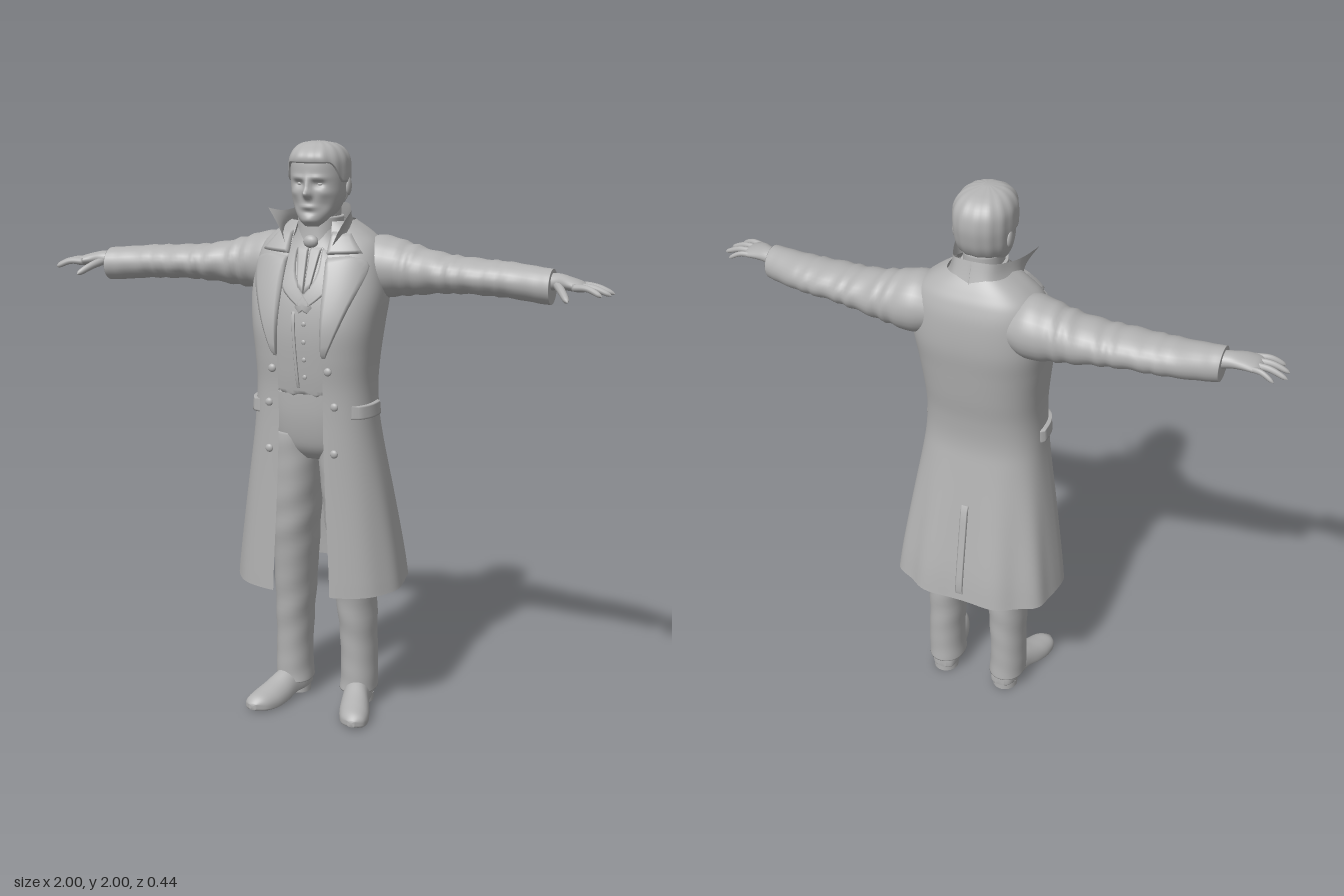
import * as THREE from 'three';

const grey = new THREE.MeshStandardMaterial({ color: 0xb2b2b2, side: THREE.DoubleSide });
grey.name = 'plain grey';

// ---- helpers ----
const spline = (a, b, c, d, u) =>
  0.5 * (2 * b + (c - a) * u + (2 * a - 5 * b + 4 * c - d) * u * u + (3 * b - a - 3 * c + d) * u ** 3);

// Smoothly subdivides a short table of cross-sections.
function smooth(t, k = 6) {
  const out = [], last = t.length - 1;
  for (let i = 0; i < last; i++) for (let j = 0; j < k; j++) {
    const [a, b, c, d] = [t[Math.max(i - 1, 0)], t[i], t[i + 1], t[Math.min(i + 2, last)]];
    out.push(b.map((_, q) => spline(a[q], b[q], c[q], d[q], j / k)));
  }
  return [...out, t[last]];
}

// Looks a section up by its first value.
function at(rows, y) {
  let i = 0;
  while (i < rows.length - 2 && rows[i + 1][0] < y) i++;
  const u = THREE.MathUtils.clamp((y - rows[i][0]) / (rows[i + 1][0] - rows[i][0]), 0, 1);
  return rows[i].map((v, q) => v + (rows[i + 1][q] - v) * u);
}

// Skins rows of points; closed wraps each row, caps fills both ends.
function skin(rows, closed = true, caps = true) {
  const n = rows[0].length, pos = rows.flat(2), idx = [], m = closed ? n : n - 1;
  for (let i = 0; i < rows.length - 1; i++) for (let j = 0; j < m; j++) {
    const a = i * n + j, b = i * n + (j + 1) % n;
    idx.push(a, a + n, b, b, a + n, b + n);
  }
  if (closed && caps) [0, rows.length - 1].forEach((r, e) => {
    const c = pos.length / 3;
    pos.push(...[0, 1, 2].map(q => rows[r].reduce((s, p) => s + p[q], 0) / n));
    for (let j = 0; j < n; j++) {
      const a = r * n + j, b = r * n + (j + 1) % n;
      idx.push(...(e ? [c, b, a] : [c, a, b]));
    }
  });
  const g = new THREE.BufferGeometry();
  g.setAttribute('position', new THREE.Float32BufferAttribute(pos, 3));
  g.setIndex(idx);
  g.computeVertexNormals();
  return g;
}

const pow = (v, e) => Math.sign(v) * Math.abs(v) ** e;
const oval = (a, n) => [pow(Math.sin(a), 2 / n), pow(Math.cos(a), 2 / n)];
const loop = (count, f) => Array.from({ length: count }, (_, j) => f(j / count * Math.PI * 2));

// Upright section [y, half width, front z, back z]
const ringY = ([y, rx, zf, zb], n = 2.3, count = 48) => loop(count, a => {
  const [s, c] = oval(a, n);
  return [rx * s, y, (zf + zb) / 2 + (zf - zb) / 2 * c];
});
// Sideways section [x, centre y, half height, centre z, half depth]
const ringX = ([x, cy, ry, cz, rz], fold = 0) => loop(28, a => {
  const k = 1 + fold * Math.sin(x * 95 + 2 * Math.sin(a + 1) + Math.sin(x * 41));
  return [x, cy + ry * k * Math.cos(a), cz + rz * k * Math.sin(a)];
});

// Coat sections: [y, half width, front z, back z, opening half width]
const coat = smooth([
  [0.485, 0.30, 0.203, -0.215, 0.105], [0.6, 0.285, 0.202, -0.2, 0.1], [0.8, 0.255, 0.2, -0.163, 0.09],
  [1.0, 0.222, 0.2, -0.126, 0.082], [1.1, 0.21, 0.2, -0.112, 0.08], [1.2, 0.204, 0.203, -0.118, 0.08],
  [1.3, 0.21, 0.213, -0.135, 0.08], [1.4, 0.222, 0.215, -0.15, 0.08], [1.5, 0.232, 0.19, -0.163, 0.085],
  [1.6, 0.222, 0.15, -0.16, 0.075], [1.66, 0.205, 0.115, -0.145, 0.07], [1.7, 0.165, 0.09, -0.125, 0.066],
  [1.74, 0.105, 0.075, -0.1, 0.06]]);
const vest = smooth([
  [1.16, 0.165, 0.16, -0.08], [1.25, 0.165, 0.172, -0.08], [1.38, 0.175, 0.18, -0.1], [1.5, 0.18, 0.165, -0.11],
  [1.6, 0.15, 0.13, -0.11], [1.68, 0.09, 0.1, -0.08], [1.73, 0.07, 0.09, -0.065]]);
const head = smooth([
  [1.725, 0.028, 0.112, 0.04], [1.745, 0.05, 0.126, 0.0], [1.78, 0.073, 0.128, -0.04], [1.82, 0.086, 0.13, -0.07],
  [1.86, 0.091, 0.132, -0.083], [1.9, 0.093, 0.134, -0.088], [1.94, 0.09, 0.13, -0.08], [1.97, 0.073, 0.112, -0.055],
  [1.987, 0.045, 0.085, -0.015], [1.993, 0.01, 0.05, 0.03]], 7);

const N = 2.6;
const bulge = r => (1 - Math.min(Math.abs(r), 0.985) ** N) ** (1 / N);
const frontZ = table => (x, y) => {
  const [, rx, zf, zb] = at(table, y);
  return (zf + zb) / 2 + (zf - zb) / 2 * bulge(x / rx);
};
const coatZ = frontZ(coat), vestZ = frontZ(vest);

// Raised patch between two [x, y] lines, its border sunk into the surface below.
function drape(inner, outer, place, lift = 0.011) {
  const a = inner.length > 2 ? smooth(inner, 5) : smooth(inner, 8);
  const b = inner.length > 2 ? smooth(outer, 5) : smooth(outer, 8);
  return skin(a.map((p, i) => Array.from({ length: 11 }, (_, j) => {
    const u = THREE.MathUtils.clamp((j - 1) / 8, 0, 1);
    const rim = j === 0 || j === 10 || i === 0 || i === a.length - 1;
    return place(p[0] + (b[i][0] - p[0]) * u, p[1] + (b[i][1] - p[1]) * u, rim ? -0.004 : lift);
  })), false);
}
const onCoat = (x, y, o) => [x, y, coatZ(x, y) + o];
const onVest = (x, y, o) => [x, y, vestZ(x, y) + o];
const onCoatSide = (z, y, o) => {
  const [, rx, zf, zb] = at(coat, y);
  return [rx * bulge((z - (zf + zb) / 2) / ((zf - zb) / 2)) + o, y, z];
};

function finger(points, r) {
  const path = new THREE.CatmullRomCurve3(points.map(p => new THREE.Vector3(...p)));
  const frames = path.computeFrenetFrames(14);
  return skin(Array.from({ length: 15 }, (_, i) => {
    const u = i / 14, c = path.getPointAt(u), k = r * (1 - 0.25 * u) * Math.sqrt(Math.max(1 - u ** 10, 0.02));
    return loop(10, a => c.clone().addScaledVector(frames.normals[i], k * Math.cos(a))
      .addScaledVector(frames.binormals[i], k * Math.sin(a)).toArray());
  }));
}

const ball = (r, sx, sy, sz, x, y, z) => new THREE.SphereGeometry(r, 16, 12).scale(sx, sy, sz).translate(x, y, z);

export function createModel() {
  const model = new THREE.Group();
  const add = (name, g) => {
    const m = new THREE.Mesh(g, grey);
    m.name = name;
    model.add(m);
  };
  const pair = (name, g) => {
    add('left' + name, g);
    const r = g.clone().scale(-1, 1, 1), ix = r.index.array;
    for (let i = 0; i < ix.length; i += 3) [ix[i], ix[i + 1]] = [ix[i + 1], ix[i]];
    add('right' + name, r);
  };

  // Head, with features raised or sunk by soft bumps [x, y, width, height, depth]
  const bumps = [[0, 1.832, 0.013, 0.014, 0.03], [0, 1.857, 0.01, 0.025, 0.016], [0.034, 1.884, 0.026, 0.008, 0.006],
    [0.034, 1.864, 0.018, 0.011, -0.014], [0, 1.79, 0.026, 0.007, 0.007], [0, 1.772, 0.022, 0.007, -0.005],
    [0, 1.747, 0.02, 0.013, 0.006], [0.055, 1.835, 0.02, 0.013, 0.005], [0.05, 1.795, 0.018, 0.02, -0.006]];
  add('head', skin(head.map(s => ringY(s, 2.2, 96).map(([x, y, z]) => [x, y, z + (z < 0.05 ? 0 :
    bumps.reduce((t, [bx, by, w, h, d]) => t + d * Math.exp(-(((Math.abs(x) - bx) / w) ** 2) - ((y - by) / h) ** 2), 0))]))));
  pair('Eye', ball(0.012, 1.1, 0.7, 1, 0.034, 1.864, 0.105));
  pair('Ear', ball(0.03, 0.3, 1, 0.6, 0.093, 1.852, 0.0));

  // Hair, swept back from a raised hairline
  const step = THREE.MathUtils.smoothstep;
  add('hair', skin(Array.from({ length: 25 }, (_, i) => loop(72, a => {
    const c = Math.cos(a), t = i / 24;
    const base = 1.865 + 0.066 * step(c, 0.2, 0.75) - 0.075 * step(-c, 0, 0.6);
    const y = base + (1.993 - base) * t, [, rx, zf, zb] = at(head, y), [s, k] = oval(a, 2.2);
    const o = i === 0 ? -0.003 : 0.006 + 0.0015 * Math.sin(14 * a);
    const quiff = 0.011 * step(c, 0.3, 1) * Math.sin(Math.PI * Math.min(t * 1.1 + 0.1, 1));
    return [(rx + o) * s, y + 0.007 * t, (zf + zb) / 2 + ((zf - zb) / 2 + o) * k + quiff];
  }))));

  // Neck, shirt collar and neckcloth
  add('neck', skin(smooth([[1.62, 0.08, 0.1, -0.07], [1.7, 0.066, 0.09, -0.06], [1.8, 0.064, 0.085, -0.06]]).map(s => ringY(s))));
  add('shirtCollar', skin(smooth([[1.66, 0.08, 0.105, -0.07], [1.7, 0.074, 0.1, -0.068], [1.755, 0.073, 0.096, -0.066]]).map(s => ringY(s))));
  add('neckclothKnot', ball(0.024, 1.1, 0.9, 0.7, 0, 1.675, 0.105));
  pair('NeckclothFold', drape([[0.004, 1.66], [0.002, 1.5]], [[0.042, 1.66], [0.02, 1.52]], onVest, 0.012));

  // Waistcoat with a two-pointed hem, crossing lapels and buttons
  add('waistcoat', skin(vest.map((s, i) => ringY(s, N, 72).map(([x, y, z]) => [x, y + (i ? 0 :
    0.025 * Math.min(Math.abs(Math.abs(x) - 0.04) / 0.04, 1)), z]))));
  pair('WaistcoatLapel', drape([[0.045, 1.66], [0.035, 1.56], [-0.035, 1.46]], [[0.075, 1.64], [0.085, 1.53], [-0.02, 1.44]], onVest, 0.008));
  add('waistcoatEdge', drape([[-0.04, 1.46], [-0.025, 1.18]], [[-0.03, 1.46], [-0.015, 1.18]], onVest, 0.005));
  for (let i = 0; i < 4; i++) add('waistcoatButton', ball(0.008, 1, 1, 0.5, 0.005, 1.41 - i * 0.06, vestZ(0, 1.41 - i * 0.06) + 0.002));

  // Trousers: hips and two legs with light creases
  add('hips', skin(smooth([[0.93, 0.1, 0.09, -0.06], [0.98, 0.155, 0.125, -0.095], [1.08, 0.165, 0.145, -0.09],
    [1.2, 0.16, 0.15, -0.075]]).map(s => ringY(s))));
  // [y, centre x, half width, centre z, half depth]
  const leg = smooth([[0.06, 0.125, 0.066, -0.043, 0.08], [0.12, 0.126, 0.064, -0.044, 0.079], [0.25, 0.124, 0.063, -0.042, 0.083],
    [0.48, 0.113, 0.071, -0.03, 0.1], [0.7, 0.1, 0.08, -0.005, 0.11], [0.9, 0.088, 0.082, 0.015, 0.107], [1.02, 0.082, 0.08, 0.025, 0.1]], 9);
  pair('TrouserLeg', skin(leg.map(([y, cx, rx, cz, rz]) => loop(40, a => {
    const [s, c] = oval(a, 2.15), k = 1 + 0.022 * Math.sin(y * 48 + 2 * Math.sin(a + 0.6)) * Math.cos(y * 9);
    return [cx + rx * k * s, y, cz + rz * k * c];
  }))));

  // Shoes: [z, centre x, half width, top, bottom]
  const shoe = smooth([[-0.118, 0.12, 0.018, 0.07, 0.025], [-0.1, 0.12, 0.041, 0.095, 0.02], [-0.04, 0.125, 0.05, 0.118, 0.02],
    [0.02, 0.138, 0.049, 0.108, 0.02], [0.08, 0.156, 0.055, 0.083, 0.006], [0.13, 0.171, 0.055, 0.068, 0],
    [0.175, 0.183, 0.043, 0.055, 0.003], [0.203, 0.188, 0.012, 0.034, 0.012]]);
  pair('Shoe', skin(shoe.map(([z, cx, hw, top, bot]) => loop(28, a => {
    const [s, c] = oval(a, Math.cos(a) < 0 ? 5 : 2), mid = bot + 0.02;
    return [cx + hw * s, mid + c * (c > 0 ? top - mid : mid - bot), z];
  }))));
  pair('Heel', new THREE.CylinderGeometry(0.046, 0.046, 0.026, 24).scale(1, 1, 1.05).translate(0.123, 0.013, -0.066));

  // Long open coat with folds in the skirt
  add('coat', skin(coat.map(([y, rx, zf, zb, e]) => {
    const a0 = Math.asin((e / rx) ** (N / 2)), k = step(1.1 - y, 0, 0.6);
    return Array.from({ length: 97 }, (_, j) => {
      const a = a0 + (2 * Math.PI - 2 * a0) * j / 96, [s, c] = oval(a, N);
      const f = 1 + 0.03 * k * Math.cos(9 * a) * (1 - Math.cos(a)) / 2;
      return [rx * s * f, y - (y < 0.5 ? 0.012 * Math.max(c, 0) : 0), (zf + zb) / 2 + (zf - zb) / 2 * c * f];
    });
  }), false));
  add('backVent', drape([[-0.012, 0.88], [-0.012, 0.5]], [[0.014, 0.88], [0.014, 0.5]],
    (x, y, o) => { const k = step(1.1 - y, 0, 0.6), [, , zf, zb] = at(coat, y); return [x, y, zb + (zf - zb) / 2 * 0.03 * k - o]; }, 0.008));

  // Lapels, collar leaves, standing collar
  pair('Lapel', drape([[0.07, 1.63], [0.074, 1.56], [0.078, 1.43], [0.081, 1.3]],
    [[0.135, 1.635], [0.2, 1.6], [0.152, 1.45], [0.09, 1.3]], onCoat, 0.013));
  pair('CollarLeaf', drape([[0.07, 1.71], [0.07, 1.635]], [[0.125, 1.705], [0.178, 1.64]], onCoat, 0.016));
  const low = smooth([[0, 1.7, -0.118], [0.08, 1.7, -0.1], [0.125, 1.69, -0.02], [0.125, 1.68, 0.05], [0.075, 1.64, 0.125]]);
  const high = smooth([[0, 1.795, -0.088], [0.065, 1.79, -0.07], [0.1, 1.775, -0.005], [0.122, 1.77, 0.055], [0.148, 1.782, 0.115]]);
  pair('StandingCollar', skin(low.map((p, i) => Array.from({ length: 8 }, (_, j) => {
    const u = j / 7, b = high[i], dip = Math.sin(Math.PI * u) * 0.008;
    return p.map((v, q) => v + (b[q] - v) * u - (q === 0 && i ? dip : 0));
  })), false));

  // Pocket flaps and coat buttons
  pair('PocketFlap', drape([[0.01, 1.14], [0.16, 1.14]], [[0.008, 1.095], [0.162, 1.095]], onCoatSide, 0.013));
  for (const [x, y] of [[0.1, 1.26], [0.118, 1.14], [0.118, 0.98]])
    pair('CoatButton', ball(0.014, 1, 1, 0.6, x, y, coatZ(x, y) + 0.003));

  // Sleeves with creases
  const sleeve = smooth([[0.13, 1.585, 0.08, -0.035, 0.1], [0.2, 1.587, 0.105, -0.045, 0.11], [0.3, 1.58, 0.087, -0.045, 0.098],
    [0.4, 1.574, 0.069, -0.035, 0.093], [0.5, 1.572, 0.06, -0.022, 0.09], [0.65, 1.567, 0.058, -0.008, 0.08],
    [0.77, 1.558, 0.058, 0.022, 0.064], [0.8, 1.557, 0.057, 0.03, 0.06]], 9);
  pair('Sleeve', skin(sleeve.map(s => ringX(s, 0.035 * step(s[0], 0.2, 0.3) * (1 - 0.8 * step(s[0], 0.6, 0.75))))));

  // Hands
  pair('Palm', skin(smooth([[0.77, 1.568, 0.03, 0.028, 0.034], [0.82, 1.576, 0.026, 0.035, 0.035], [0.86, 1.573, 0.022, 0.05, 0.045],
    [0.9, 1.566, 0.017, 0.058, 0.048], [0.915, 1.563, 0.009, 0.06, 0.04]]).map(s => ringX(s))));
  [[0.022, 0.965, 0.005], [0.046, 1.0, 0.04], [0.072, 0.997, 0.08], [0.095, 0.975, 0.118]].forEach(([z, tx, tz], i) =>
    pair('Finger', finger([[0.88, 1.567, z], [(0.88 + tx) / 2, 1.567, (z + tz) / 2], [tx, 1.546, tz]], i ? 0.012 : 0.01)));
  pair('Thumb', finger([[0.82, 1.568, 0.055], [0.845, 1.553, 0.1], [0.875, 1.527, 0.147]], 0.015));

  return model;
}
